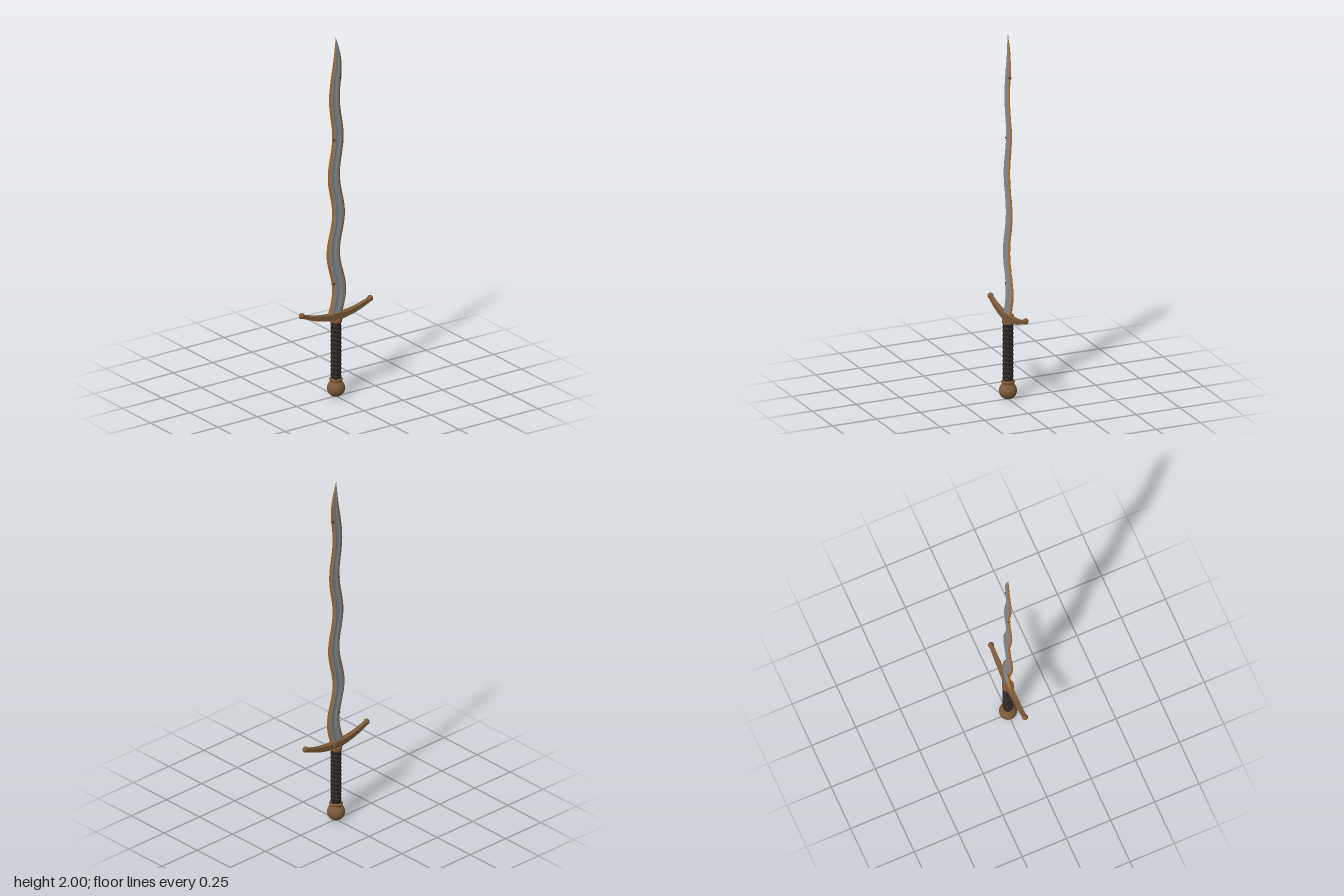
import * as THREE from 'three';
import { mergeGeometries } from 'three/addons/utils/BufferGeometryUtils.js';

const mat = (name, color) => {
  const m = new THREE.MeshStandardMaterial({ color });
  m.name = name;
  return m;
};

// Blade outline: wave centre, half width and half thickness at height y
const BASE = 0.44, TIP = 2.0;
const lerp = THREE.MathUtils.lerp;
const along = (y) => (y - BASE) / (TIP - BASE);
const waveCentre = (y) => lerp(0.021, 0.007, along(y)) * Math.cos((Math.PI * 2 * (y - 0.59)) / 0.43);
const halfWidth = (y) => {
  const w = lerp(0.046, 0.031, along(y));
  const t = Math.max(0, (y - 1.78) / (TIP - 1.78));
  return Math.max(0.0004, w * (1 - Math.pow(t, 1.7)));
};
const halfThick = (y) => lerp(0.0082, 0.0052, along(y)) * (y > 1.94 ? Math.max(0.3, (TIP - y) / 0.06) : 1);

// Cross-section loop: edge, bevel, ridge, fuller, ridge, bevel, and the same behind
function bladeSection(y) {
  const w = halfWidth(y), t = halfThick(y), c = waveCentre(y);
  const ragged = 0.0018 * Math.sin(y * 71) * Math.sin(y * 43);
  const b = w - Math.min(0.0105 + ragged, w * 0.36);
  const half = [[w, 0], [b, t * 0.78], [w * 0.4, t], [w * 0.14, t * 0.7],
    [-w * 0.14, t * 0.7], [-w * 0.4, t], [-b, t * 0.78]];
  return [...half, ...half.map(([x, z]) => [-x, -z])].map(([x, z]) => [c + x, y, z]);
}

// One lengthwise face of the blade, between section points j and j + 1
function bladePanel(j, rows) {
  const pos = [], index = [];
  rows.forEach((row, i) => {
    pos.push(...row[j], ...row[(j + 1) % row.length]);
    if (i) {
      const a0 = 2 * i - 2, b0 = a0 + 1, a1 = 2 * i, b1 = a1 + 1;
      index.push(b0, a0, a1, b0, a1, b1);
    }
  });
  const g = new THREE.BufferGeometry();
  g.setAttribute('position', new THREE.Float32BufferAttribute(pos, 3));
  g.setIndex(index);
  g.computeVertexNormals();
  return g;
}

// Tapered crossguard bar bent upward at both ends
function guardGeometry() {
  const g = new THREE.BoxGeometry(0.43, 2, 2, 32, 1, 1);
  const p = g.attributes.position;
  for (let i = 0; i < p.count; i++) {
    const x = p.getX(i), k = Math.abs(x) / 0.215;
    p.setY(i, 0.446 + 0.047 * k * k + p.getY(i) * lerp(0.017, 0.01, k));
    p.setZ(i, p.getZ(i) * lerp(0.017, 0.01, k));
  }
  g.computeVertexNormals();
  return g;
}

export function createModel() {
  const steel = mat('steel', 0x8b9297);
  const rust = mat('rusty edge', 0xb06a22);
  const darkRust = mat('dark rust', 0x5a351c);
  const bronze = mat('bronze', 0x7d5b39);
  const leather = mat('leather', 0x3a2a2b);
  const darkLeather = mat('dark leather', 0x2b2022);

  const model = new THREE.Group();
  const add = (name, geometry, material, x = 0, y = 0, z = 0) => {
    const mesh = new THREE.Mesh(geometry, material);
    mesh.name = name;
    mesh.position.set(x, y, z);
    model.add(mesh);
  };

  // Wavy blade: steel faces and rusty bevels
  const rows = [];
  for (let i = 0; i <= 150; i++) rows.push(bladeSection(lerp(BASE, TIP, i / 150)));
  const faces = [], bevels = [];
  for (let j = 0; j < 14; j++) (j % 7 === 0 || j % 7 === 6 ? bevels : faces).push(bladePanel(j, rows));
  add('bladeFaces', mergeGeometries(faces), steel);
  add('bladeEdges', mergeGeometries(bevels), rust);

  // Small rust spots near the edges, on both faces
  for (const [y, side] of [[0.63, -0.74], [1.43, -0.72], [1.77, 0.72]]) {
    const x = waveCentre(y) + side * halfWidth(y);
    const spot = new THREE.CylinderGeometry(0.007, 0.007, halfThick(y) * 1.9, 10).rotateX(Math.PI / 2);
    add('rustSpot', spot, darkRust, x, y, 0);
  }

  // Crossguard with ball ends and centre block
  add('guardBar', guardGeometry(), bronze);
  for (const s of [-1, 1]) add('guardBall', new THREE.SphereGeometry(0.016, 24, 16), bronze, s * 0.217, 0.496, 0);
  add('guardBlock', new THREE.BoxGeometry(0.056, 0.04, 0.042), bronze, 0, 0.448, 0);

  // Collar under the guard
  add('collar', new THREE.CylinderGeometry(0.032, 0.032, 0.016, 32), bronze, 0, 0.425, 0);

  // Grip core with a shallow spiral leather wrap
  add('gripCore', new THREE.CylinderGeometry(0.0265, 0.0265, 0.33, 32), darkLeather, 0, 0.26, 0);
  const turns = 13, spiral = [];
  for (let i = 0; i <= turns * 16; i++) {
    const a = (i / 16) * Math.PI * 2;
    spiral.push(new THREE.Vector3(0.0195 * Math.cos(a), lerp(0.108, 0.412, i / (turns * 16)), 0.0195 * Math.sin(a)));
  }
  const path = new THREE.CatmullRomCurve3(spiral);
  add('gripWrap', new THREE.TubeGeometry(path, turns * 24, 0.0098, 12), leather);

  // Pommel: ball, neck and ring
  add('pommelBall', new THREE.SphereGeometry(0.047, 40, 28), bronze, 0, 0.047, 0);
  add('pommelNeck', new THREE.CylinderGeometry(0.03, 0.033, 0.025, 32), bronze, 0, 0.091, 0);
  add('pommelRing', new THREE.TorusGeometry(0.029, 0.007, 12, 40).rotateX(Math.PI / 2), bronze, 0, 0.096, 0);

  return model;
}
